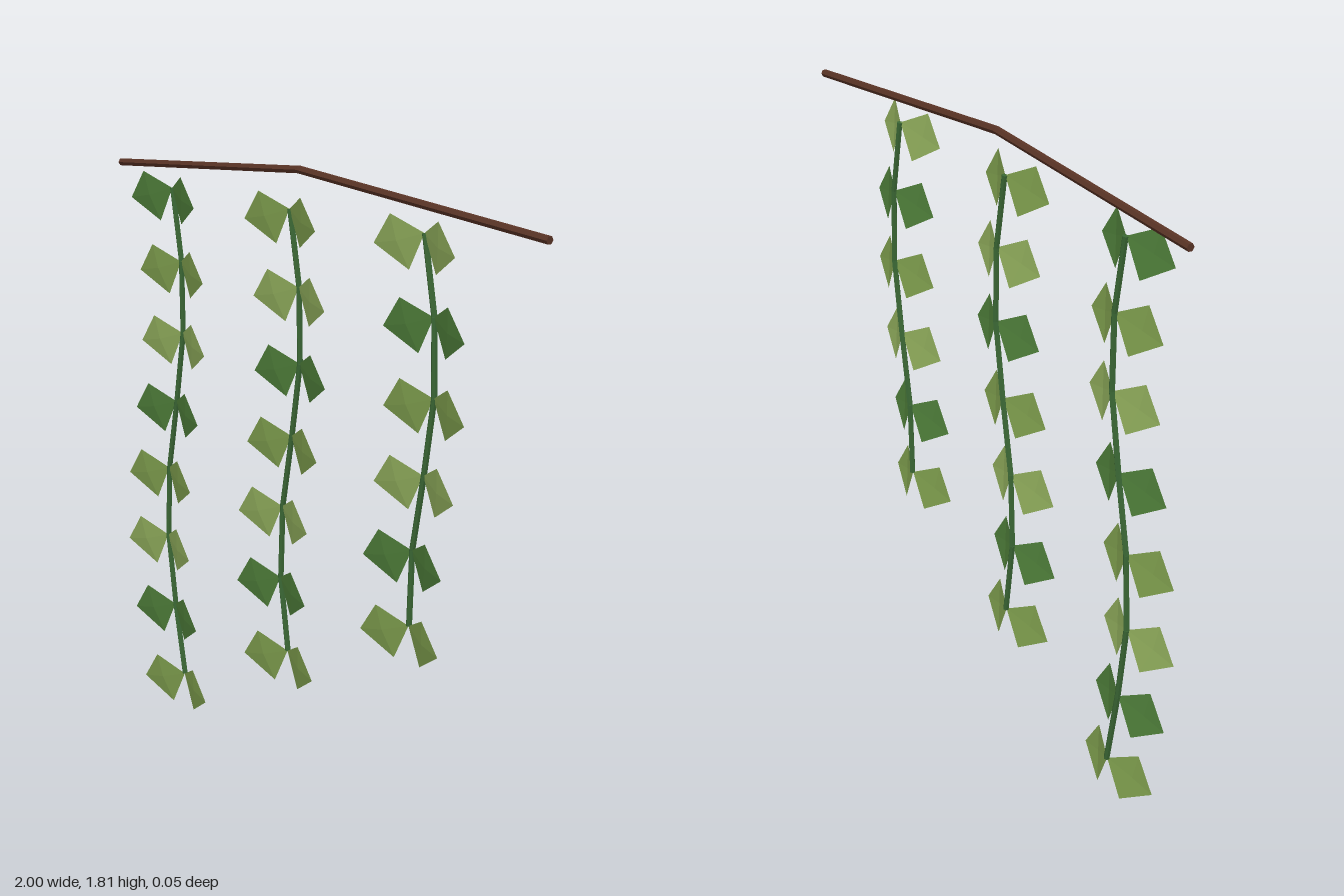
import * as THREE from 'three';

const mat = (color, side = THREE.FrontSide) =>
  new THREE.MeshStandardMaterial({ color, flatShading: true, side });

// Straight rod between two points
function rod(a, b, radius, sides, material, name) {
  const dir = b.clone().sub(a);
  const mesh = new THREE.Mesh(new THREE.CylinderGeometry(radius, radius, dir.length(), sides), material);
  mesh.position.copy(a).add(b).multiplyScalar(0.5);
  mesh.quaternion.setFromUnitVectors(new THREE.Vector3(0, 1, 0), dir.normalize());
  mesh.name = name;
  return mesh;
}

// Kite-shaped leaf, folded around a point on its midrib; side is +1 or -1
function leafGeometry(side) {
  const base = [0, 0, -0.012], bottom = [0.057, -0.107, -0.006];
  const tip = [0.172, -0.043, 0.026], top = [0.102, 0.046, 0.026];
  const middle = [0.088, -0.028, 0.015];
  const rim = [base, bottom, tip, top];
  const points = [];
  rim.forEach((p, i) => {
    const q = rim[(i + 1) % 4];
    points.push(...(side > 0 ? [middle, p, q] : [middle, q, p]));
  });
  const geometry = new THREE.BufferGeometry();
  geometry.setAttribute('position',
    new THREE.Float32BufferAttribute(points.flatMap(([x, y, z]) => [x * side, y, z]), 3));
  geometry.computeVertexNormals();
  return geometry;
}

export function createModel() {
  const model = new THREE.Group();
  model.name = 'hangingVines';
  const z = -0.014;

  // Branch with a shallow bend
  const bark = mat(0x5a3426);
  const ends = [[-1, 1.736], [-0.06, 1.8], [1, 1.72]].map(([x, y]) => new THREE.Vector3(x, y, z));
  const branch = new THREE.Group();
  branch.name = 'branch';
  branch.add(rod(ends[0], ends[1], 0.012, 6, bark, 'branchRight'));
  branch.add(rod(ends[1], ends[2], 0.012, 6, bark, 'branchLeft'));
  model.add(branch);

  // Three swaying vines, each with a pair of leaves at every node
  const stemMaterial = mat(0x3a6634);
  const greens = [0x4f7f3a, 0x7f9f4e, 0x90ad5c].map(c => mat(c, THREE.DoubleSide));
  const leaves = { leafRight: leafGeometry(-1), leafLeft: leafGeometry(1) };
  [[-0.711, 8], [-0.103, 7], [0.507, 6]].forEach(([x, count], v) => {
    const vine = new THREE.Group();
    vine.name = 'vine' + (v + 1);
    const nodes = Array.from({ length: count }, (_, i) =>
      new THREE.Vector3(x + 0.052 * Math.sin(i), 1.682 - 0.225 * i, z));
    nodes.forEach((node, i) => {
      if (i > 0) vine.add(rod(nodes[i - 1], node, 0.009, 6, stemMaterial, 'stem'));
      for (const [name, geometry] of Object.entries(leaves)) {
        const leaf = new THREE.Mesh(geometry, greens[(v + i) % 3]);
        leaf.position.set(node.x, node.y, 0);
        leaf.name = name;
        vine.add(leaf);
      }
    });
    model.add(vine);
  });
  return model;
}
